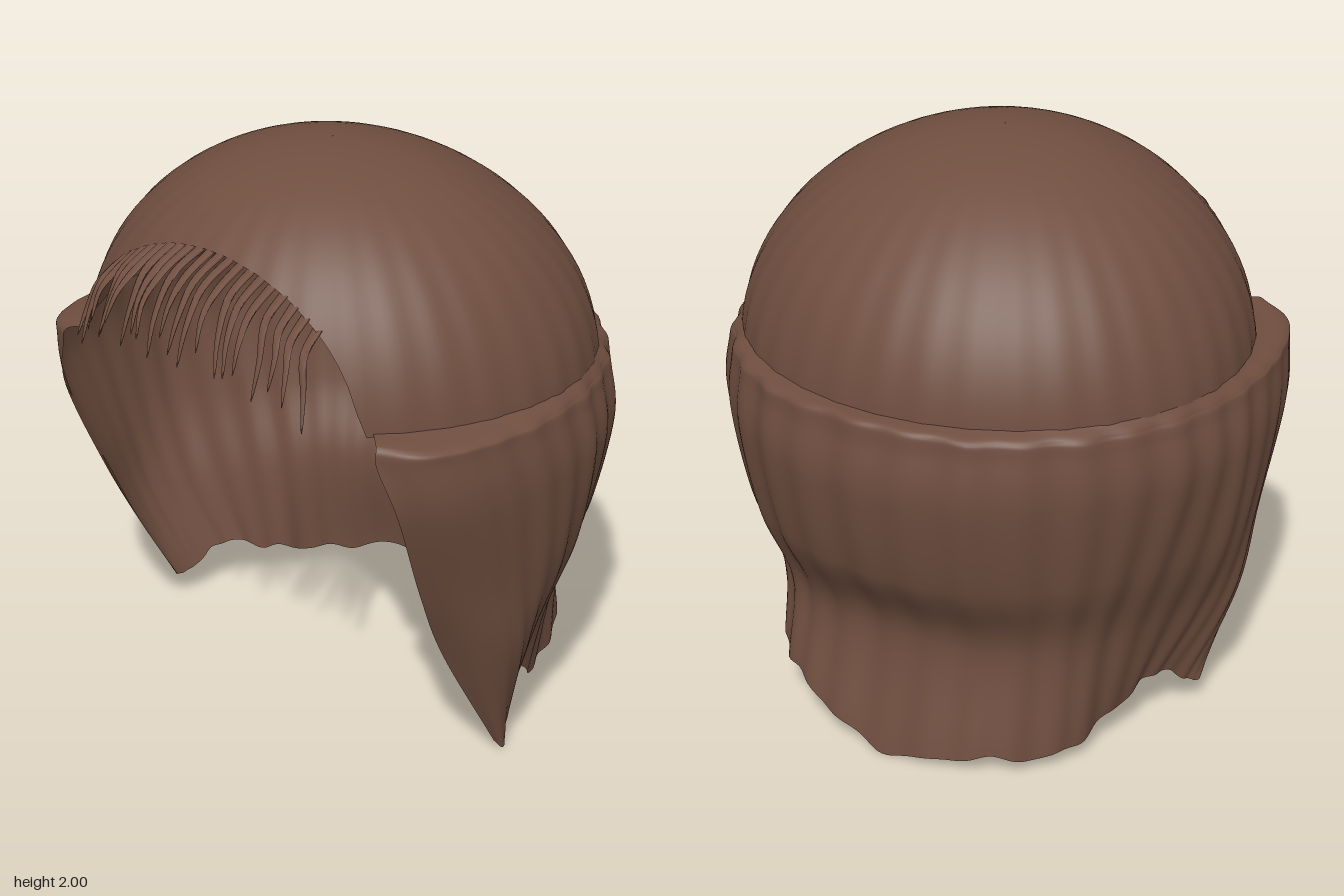
import * as THREE from 'three';
import { ParametricGeometry } from 'three/addons/geometries/ParametricGeometry.js';

const V = (x, y, z) => new THREE.Vector3(x, y, z);

// Plan outlines (x, z) of the hanging hair, back centre to front edge, from hem to rim
const PLANS = [
  [0, -.75, .33, -.70, .55, -.52, .63, -.28, .70, -.10, .75, .02, .78, .07, .76, .10],
  [0, -.67, .33, -.63, .56, -.49, .70, -.28, .81, -.04, .87, .12, .82, .25, .71, .32],
  [0, -.81, .36, -.75, .64, -.55, .80, -.30, .91, -.03, .90, .20, .83, .37, .73, .465],
  [0, -.88, .38, -.81, .69, -.58, .88, -.29, .95, .00, .93, .28, .86, .49, .75, .60],
  [0, -.86, .38, -.79, .68, -.57, .86, -.28, .93, .03, .91, .33, .83, .55, .70, .645],
];
const HEIGHTS = [0, .45, .74, 1.07, 1.25];
// Hem heights from the model's right front edge, round the back, to its left front edge
const HEM = [.13, .10, .12, .20, .13, .06, .07, .015, .14, .18, .10, .20, .08, .01, .04];

// Dome: an ellipsoid leaning slightly forward, cut off above the forehead
const RX = .88, RY = .75, BACK = .8, FRONT = .85, BASE = 1.25, CUT = .61, LEAN = .06, RIM = .08;
const domePoint = (a, e, p) => p.set(
  RX * Math.sin(a) * Math.cos(e),
  BASE + RY * Math.sin(e),
  (Math.cos(a) > 0 ? FRONT : BACK) * Math.cos(a) * Math.cos(e) + LEAN * Math.sin(e) ** 2);

function crownPoint(u, v, p) {
  const a = u * Math.PI * 2, c = Math.cos(a);
  const low = Math.max(RIM, c > 0 ? Math.acos(Math.min(1, CUT / (FRONT * c))) : 0);
  const e = low + (Math.PI / 2 - .0005 - low) * v;
  domePoint(a, e, p);
  const comb = 1 + .003 * Math.sin(a * 36) * Math.cos(e);
  p.x *= comb;
  p.z *= comb;
}

// Smooth curve through mirrored points, given by index from -7 to 7
function outline(pointAt) {
  const pts = [];
  for (let i = 7; i >= -7; i--) pts.push(pointAt(i));
  return new THREE.CatmullRomCurve3(pts, false, 'catmullrom', .5);
}
const planPoint = (plan, i, scale, y) => {
  const k = Math.abs(i) * 2;
  return V(Math.sign(i) * plan[k] * scale, y, plan[k + 1] * scale);
};

const rows = PLANS.map((plan, r) => outline(i => planPoint(plan, i, 1, r ? HEIGHTS[r] : HEM[i + 7])));
// The rim folds over and meets the dome
rows.push(outline(i => planPoint(PLANS[4], i, .985, 1.31 - .02 * Math.sin(Math.abs(i) * .45))));
rows.push(outline(i => {
  const p = planPoint(PLANS[4], i, 1, 0);
  const a = Math.atan2(p.x / RX, p.z / (p.z > 0 ? FRONT : BACK));
  return domePoint(a, RIM + .015, p);
}));

function hangingPoint(u, v, p) {
  const column = new THREE.CatmullRomCurve3(rows.map(r => r.getPoint(u)), false, 'catmullrom', .5);
  column.getPoint(v, p);
  // Soft pleats round the back, smooth flaps at the front, and a ragged hem
  const fade = THREE.MathUtils.smoothstep(Math.min(u, 1 - u), .04, .3) * Math.min(1, (1 - v) * 5);
  const pleat = 1 + .007 * fade * (Math.sin(u * 180) + .5 * Math.sin(u * 97 + 1 + v * 2));
  const hem = Math.pow(1 - v, 6);
  p.set(p.x * pleat, p.y + hem * fade * .01 * Math.sin(u * 110), p.z * pleat);
}

// Tapered, flattened lock from the forehead edge, curling forward and down
function strandGeometry(x, i) {
  const e = Math.asin(Math.sqrt(1 - (x / RX) ** 2 - (CUT / FRONT) ** 2));
  const y = BASE + RY * Math.sin(e);
  const z = CUT + LEAN * Math.sin(e) ** 2;
  const drop = .23 + .04 * Math.sin(i * 2.3) - .12 * x * x;
  const tipZ = .87 - .6 * x * x + .015 * Math.sin(i * 1.7);
  const path = new THREE.CatmullRomCurve3([
    V(x, y, z - .02),
    V(x * 1.05, y - .06, z + (tipZ - z) * .5),
    V(x * 1.11, y - drop * .65, tipZ - .04),
    V(x * 1.15 + .012 * Math.sin(i), y - drop - .03, tipZ),
  ]);
  return new ParametricGeometry((u, v, p) => {
    const a = u * Math.PI * 2;
    const w = .002 + .018 * Math.pow(1 - v, .6);
    path.getPoint(v, p);
    p.x += Math.cos(a) * w;
    p.y += Math.sin(a) * w * .6;
    p.z -= Math.sin(a) * w * .6;
  }, 8, 14);
}

export function createModel() {
  const group = new THREE.Group();
  group.name = 'hair';
  const brown = new THREE.MeshStandardMaterial({ color: 0x6f4e3f, side: THREE.DoubleSide });
  brown.name = 'brown hair';

  const add = (parent, name, geometry) => {
    const mesh = new THREE.Mesh(geometry, brown);
    mesh.name = name;
    parent.add(mesh);
  };

  add(group, 'crown', new ParametricGeometry(crownPoint, 200, 24));
  add(group, 'hangingHair', new ParametricGeometry(hangingPoint, 220, 48));

  // Row of locks along the forehead
  const fringe = new THREE.Group();
  fringe.name = 'fringe';
  const count = 21;
  for (let i = 0; i < count; i++) {
    add(fringe, 'fringeStrand', strandGeometry(-.43 + .86 * i / (count - 1), i));
  }
  group.add(fringe);
  return group;
}
